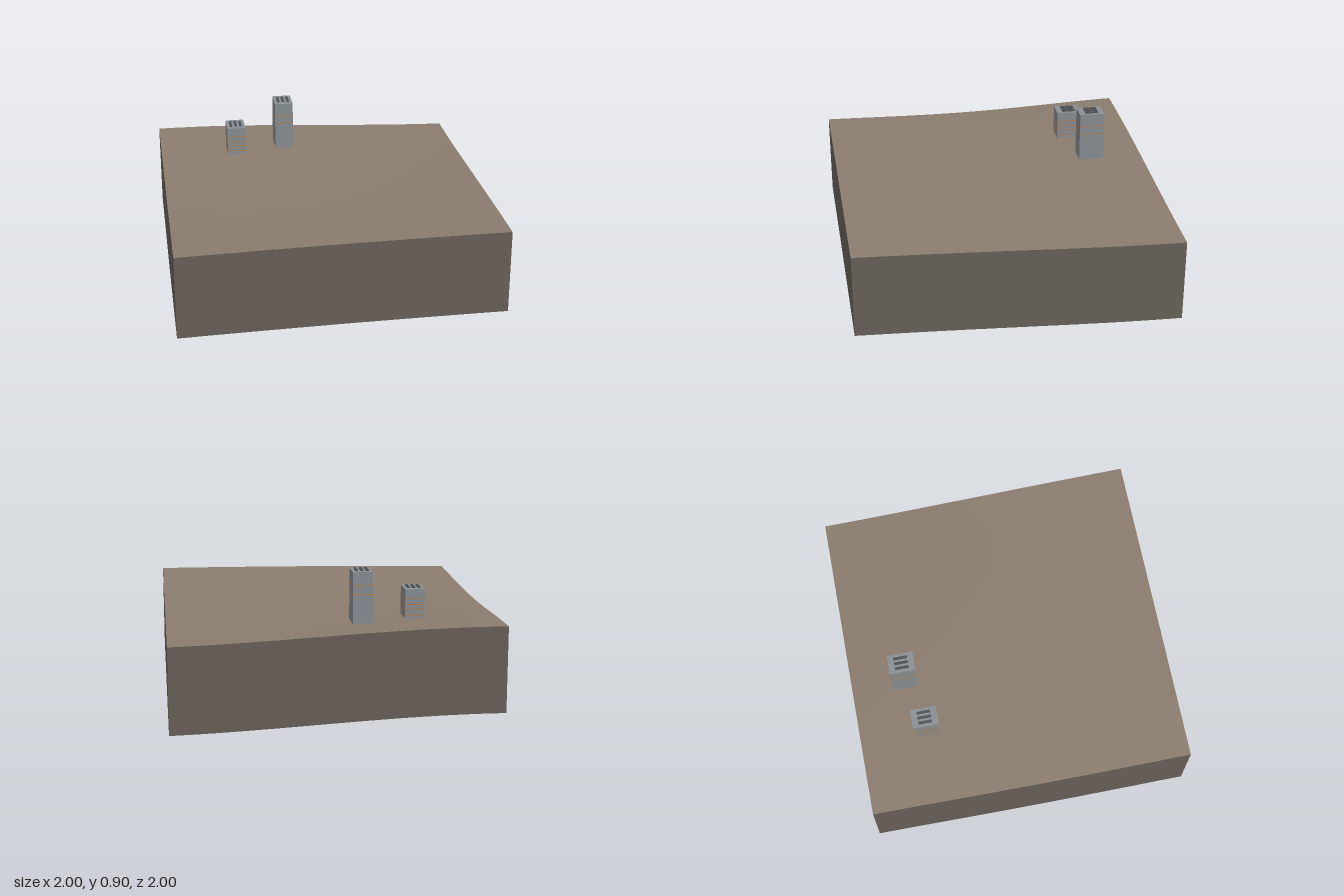
import * as THREE from 'three';

const mat = (name, color, side = THREE.FrontSide) => {
  const m = new THREE.MeshStandardMaterial({ color, side });
  m.name = name;
  return m;
};

// Smooth curve through five heights evenly spaced from -1 to 1
function profile(values) {
  return (t) => values.reduce((sum, v, i) => {
    let w = v;
    for (let j = 0; j < 5; j++) if (j !== i) w *= (t + 1 - j / 2) / ((i - j) / 2);
    return sum + w;
  }, 0);
}

// Edge heights of the ground, blended across the middle
const front = profile([0.583, 0.595, 0.604, 0.610, 0.613]);
const back = profile([0.600, 0.595, 0.573, 0.547, 0.530]);
const left = profile([0.530, 0.545, 0.569, 0.593, 0.613]);
const right = profile([0.600, 0.583, 0.568, 0.571, 0.583]);
const SKIRT = 0.53;

function groundHeight(x, z) {
  const u = (x + 1) / 2, v = (z + 1) / 2, mix = THREE.MathUtils.lerp;
  const corners = mix(mix(back(-1), back(1), u), mix(front(-1), front(1), u), v);
  return mix(back(x), front(x), v) + mix(right(z), left(z), u) - corners;
}

function setHeights(geometry, rule) {
  const p = geometry.attributes.position;
  for (let i = 0; i < p.count; i++) p.setY(i, rule(p.getX(i), p.getY(i), p.getZ(i)));
  geometry.computeVertexNormals();
  return geometry;
}

export function createModel() {
  const group = new THREE.Group();
  const ground = mat('ground brown', 0x8b7d6f, THREE.DoubleSide);
  const earth = mat('earth brown', 0x6a625b, THREE.DoubleSide);
  const wall = mat('wall grey', 0x8a9094);
  const vent = mat('vent grey', 0x505355);
  const orange = mat('stripe orange', 0xc07a38);

  const add = (parent, name, geometry, material, x = 0, y = 0, z = 0) => {
    const mesh = new THREE.Mesh(geometry, material);
    mesh.name = name;
    mesh.position.set(x, y, z);
    parent.add(mesh);
  };

  // Gently rolling ground surface
  const surface = new THREE.PlaneGeometry(2, 2, 32, 32).rotateX(-Math.PI / 2);
  add(group, 'groundSurface', setHeights(surface, (x, y, z) => groundHeight(x, z)), ground);

  // Four skirts hang from the edges, open underneath
  ['front', 'left', 'back', 'right'].forEach((side, k) => {
    const skirt = new THREE.PlaneGeometry(2, 1, 32, 1).translate(0, 0, 1).rotateY(k * Math.PI / 2);
    setHeights(skirt, (x, y, z) => groundHeight(x, z) - (y > 0 ? 0 : SKIRT));
    add(group, side + 'Skirt', skirt, earth);
  });

  // Block buildings with thin floor stripes and three roof vents
  const W = 0.12, D = 0.16, BASE = 0.57;
  function building(name, x, z, top, stripes) {
    const b = new THREE.Group();
    b.name = name;
    b.position.set(x, 0, z);
    add(b, 'walls', new THREE.BoxGeometry(W, top - BASE, D), wall, 0, (top + BASE) / 2, 0);
    for (const y of stripes)
      add(b, 'floorStripe', new THREE.BoxGeometry(W + 0.001, 0.005, D + 0.001), orange, 0, y, 0);
    for (const dx of [-0.032, 0, 0.032])
      add(b, 'roofVent', new THREE.BoxGeometry(0.016, 0.008, 0.085), vent, dx, top + 0.003, 0);
    group.add(b);
  }
  building('lowBuilding', -0.5, -0.585, 0.766, [0.607, 0.643, 0.672, 0.706]);
  building('tallBuilding', -0.17, -0.665, 0.894, [0.757, 0.811]);

  return group;
}
